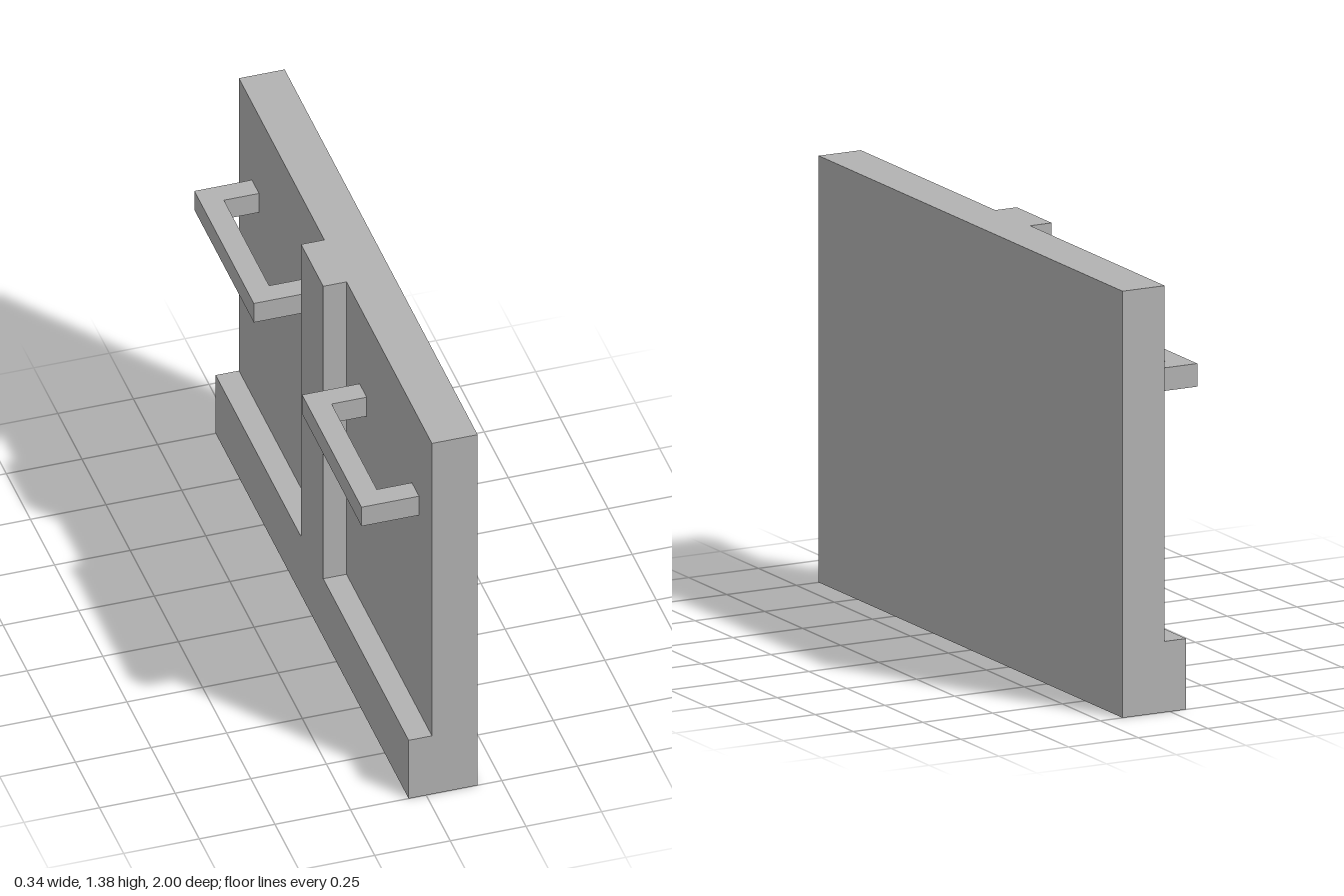
import * as THREE from 'three';

const grey = new THREE.MeshStandardMaterial({ color: 0xb2b2b2 });
grey.name = 'plain grey';

// Extrudes a closed outline given as [x, y] corners
function extrude(points, depth) {
  const shape = new THREE.Shape(points.map(([x, y]) => new THREE.Vector2(x, y)));
  return new THREE.ExtrudeGeometry(shape, { depth, bevelEnabled: false });
}

function addPart(group, name, geometry) {
  const mesh = new THREE.Mesh(geometry, grey);
  mesh.name = name;
  group.add(mesh);
  return mesh;
}

export function createModel() {
  const group = new THREE.Group();
  group.name = 'panelWithHandles';

  const height = 1.385;
  const faceX = 0.019; // recessed face of the panel
  const backX = 0.17;

  // Main flat slab
  const slab = new THREE.BoxGeometry(backX - faceX, height, 2);
  addPart(group, 'panel', slab).position.set((backX + faceX) / 2, height / 2, 0);

  // Raised frame: bottom rail and centre post in one inverted T
  const post = 0.115, rail = 0.23;
  const frame = extrude([
    [-1, 0], [1, 0], [1, rail], [post, rail],
    [post, height], [-post, height], [-post, rail], [-1, rail],
  ], 0.077);
  frame.rotateY(-Math.PI / 2); // outline runs along z, depth towards -x
  addPart(group, 'raisedFrame', frame).position.x = faceX;

  // U-shaped square-bar handles, one in each recess
  const half = 0.308, bar = 0.074, outX = -0.171;
  const handle = extrude([
    [faceX, -half], [faceX, -half + bar], [outX + bar, -half + bar],
    [outX + bar, half - bar], [faceX, half - bar], [faceX, half],
    [outX, half], [outX, -half],
  ], 0.075);
  handle.rotateX(Math.PI / 2); // outline lies flat, depth runs downwards
  for (const side of [-1, 1]) {
    const name = side > 0 ? 'frontHandle' : 'rearHandle';
    addPart(group, name, handle).position.set(0, 1.08, side * 0.558);
  }

  return group;
}
